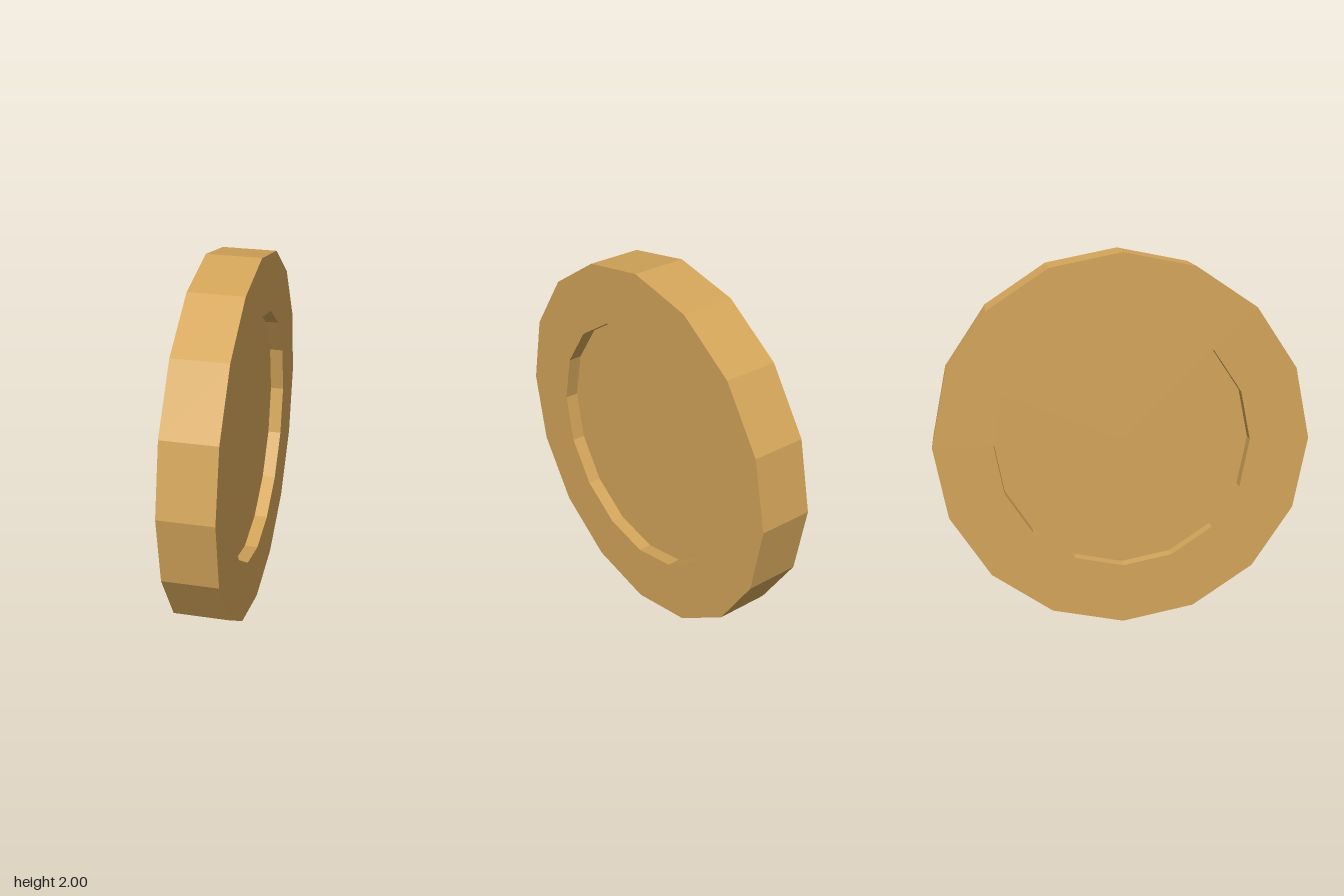
import * as THREE from 'three';

export function createModel() {
  const group = new THREE.Group();
  const radius = 0.999, inner = 0.68, half = 0.146, depth = 0.072, sides = 16;

  // Closed half-section: recessed face, raised rim, outer edge, rim, recessed face
  const profile = [
    [0, depth - half], [inner, depth - half], [inner, -half], [radius, -half],
    [radius, half], [inner, half], [inner, half - depth], [0, half - depth],
  ].map(([r, y]) => new THREE.Vector2(r, y));

  const material = new THREE.MeshStandardMaterial({ color: 0xd4a55a, flatShading: true });
  const coin = new THREE.Mesh(new THREE.LatheGeometry(profile, sides), material);
  coin.name = 'coin';

  // Stand it on edge with its faces along x, leaning very slightly towards +x
  coin.rotation.z = Math.PI / 2 - 0.006;
  coin.position.y = 1;
  group.add(coin);
  return group;
}
